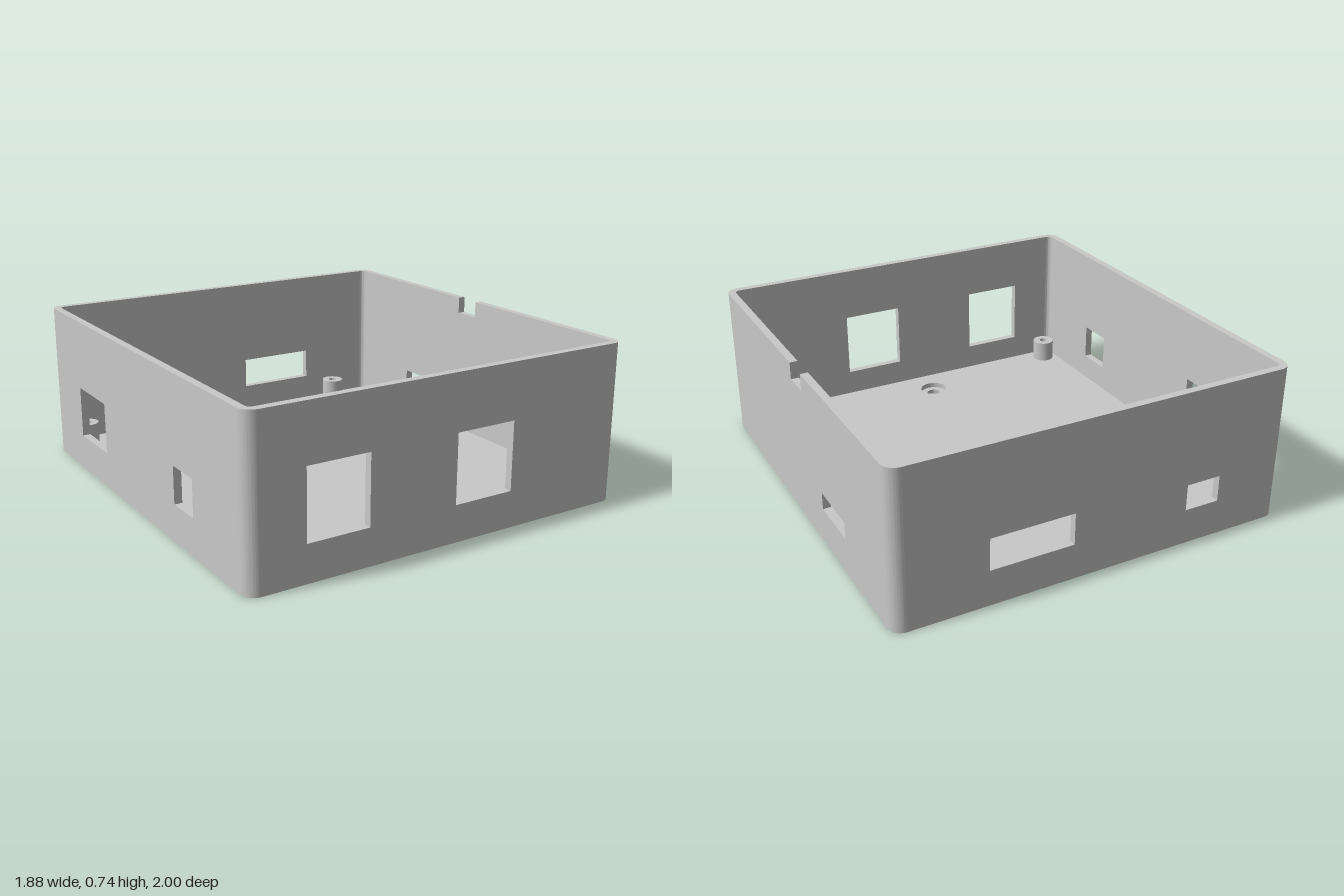
import * as THREE from 'three';
import { toCreasedNormals } from 'three/addons/utils/BufferGeometryUtils.js';

const HX = 0.94, HZ = 1, H = 0.737;       // half width, half depth, height
const T = 0.036, R = 0.06, FLOOR = 0.045; // wall, corner radius, floor thickness
const SEG = 32;

export function createModel() {
  const model = new THREE.Group();
  model.name = 'openEnclosure';
  const grey = new THREE.MeshStandardMaterial({ color: 0xc8c8c8 });
  grey.name = 'grey plastic';

  const add = (name, geometry, x = 0, y = 0, z = 0, turn = 0) => {
    const mesh = new THREE.Mesh(geometry, grey);
    mesh.name = name;
    mesh.position.set(x, y, z);
    mesh.rotation.y = turn;
    model.add(mesh);
  };
  const lathe = (points) => toCreasedNormals(
    new THREE.LatheGeometry(points.map(([r, y]) => new THREE.Vector2(r, y)), SEG), 0.6);

  // Wall panel: openings are [u0, u1, y0, y1]; notch is [u0, u1, y0] cut from the rim
  const panel = (half, openings, notch) => {
    const s = new THREE.Shape();
    s.moveTo(-half, 0).lineTo(half, 0).lineTo(half, H);
    if (notch) {
      const [a, b, y] = notch;
      s.lineTo(b, H).lineTo(b, y).lineTo(a, y).lineTo(a, H);
    }
    s.lineTo(-half, H).closePath();
    for (const [a, b, y0, y1] of openings) {
      const hole = new THREE.Path();
      hole.moveTo(a, y0).lineTo(a, y1).lineTo(b, y1).lineTo(b, y0).closePath();
      s.holes.push(hole);
    }
    return new THREE.ExtrudeGeometry(s, { depth: T, bevelEnabled: false });
  };

  // Four walls with their port openings
  add('frontWall', panel(HX - R, [[-0.682, -0.392, 0.168, 0.482], [0.034, 0.328, 0.168, 0.482]]), 0, 0, HZ - T);
  add('backWall', panel(HX - R, [[-0.598, -0.43, 0.168, 0.292], [0.128, 0.518, 0.168, 0.318]]), 0, 0, -HZ);
  add('notchedSideWall', panel(HZ - R, [[-0.525, -0.265, 0.168, 0.248]], [-0.093, 0.037, 0.658]),
    HX, 0, 0, -Math.PI / 2);
  add('plainSideWall', panel(HZ - R, [[-0.648, -0.346, 0.168, 0.407], [0.38, 0.555, 0.168, 0.338]]),
    -HX + T, 0, 0, -Math.PI / 2);

  // Rounded corners, one quarter ring each
  const quarter = new THREE.Shape();
  quarter.absarc(0, 0, R, 0, Math.PI / 2, false);
  quarter.absarc(0, 0, R - T, Math.PI / 2, 0, true);
  const corner = toCreasedNormals(
    new THREE.ExtrudeGeometry(quarter, { depth: H, bevelEnabled: false, curveSegments: 10 })
      .rotateX(-Math.PI / 2), 0.6);
  [[1, -1], [-1, -1], [-1, 1], [1, 1]].forEach(([sx, sz], i) =>
    add('corner', corner, sx * (HX - R), 0, sz * (HZ - R), i * Math.PI / 2));

  // Floor: upper and lower faces pierced by two counterbored screw holes
  const screwX = -0.09, screwZ = 0.802, boreR = 0.068, screwR = 0.036, ledge = 0.02;
  const floorFace = (holeR) => {
    const x = HX - T, z = HZ - T, r = R - T;
    const s = new THREE.Shape();
    s.absarc(x - r, z - r, r, 0, Math.PI / 2, false);
    s.absarc(-x + r, z - r, r, Math.PI / 2, Math.PI, false);
    s.absarc(-x + r, -z + r, r, Math.PI, Math.PI * 1.5, false);
    s.absarc(x - r, -z + r, r, Math.PI * 1.5, Math.PI * 2, false);
    for (const side of [-1, 1]) {
      s.holes.push(new THREE.Path().absarc(screwX, side * screwZ, holeR, 0, Math.PI * 2, true));
    }
    return new THREE.ShapeGeometry(s, SEG / 2);
  };
  add('floorTop', floorFace(boreR).rotateX(-Math.PI / 2), 0, FLOOR);
  add('floorUnderside', floorFace(screwR).rotateX(Math.PI / 2));

  const screwHole = lathe([[boreR, FLOOR], [boreR, ledge], [screwR, ledge], [screwR, 0]]);
  for (const side of [-1, 1]) add('screwHole', screwHole, screwX, 0, side * screwZ);

  // Standoff posts with blind pilot holes
  const post = lathe([[0.055, FLOOR], [0.055, 0.15], [0.021, 0.15], [0.021, FLOOR]]);
  for (const x of [-0.828, 0.645]) {
    for (const z of [-0.885, 0.885]) add('standoff', post, x, 0, z);
  }
  return model;
}
